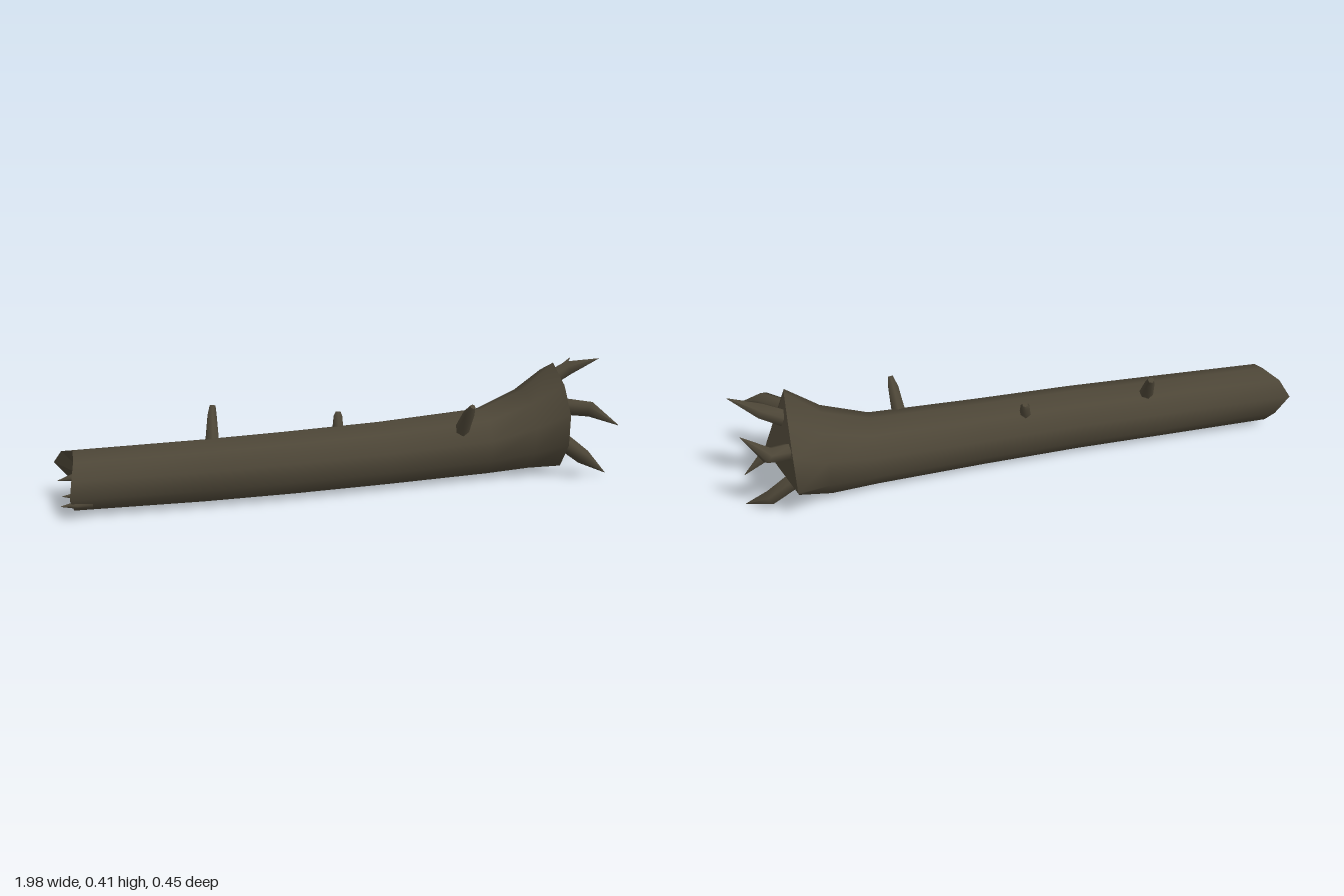
import * as THREE from 'three';

const V = (x, y, z) => new THREE.Vector3(x, y, z);

// Smooth skin over a list of rings (each an array of Vector3, turning from +y to +z)
function loft(rings) {
  const n = rings[0].length, index = [];
  for (let r = 0; r < rings.length - 1; r++) {
    for (let k = 0; k < n; k++) {
      const a = r * n + k, b = r * n + (k + 1) % n;
      index.push(a, b, a + n, b, b + n, a + n);
    }
  }
  const g = new THREE.BufferGeometry().setFromPoints(rings.flat());
  g.setIndex(index);
  g.computeVertexNormals();
  return g;
}

// Faceted fan from a ring to a centre point
function fan(ring, centre, flip) {
  const pts = [];
  ring.forEach((p, k) => {
    const q = ring[(k + 1) % ring.length];
    pts.push(...(flip ? [q, p, centre] : [p, q, centre]));
  });
  const g = new THREE.BufferGeometry().setFromPoints(pts);
  g.computeVertexNormals();
  return g;
}

// Tapered bent limb through a few points
function limb(path, radii, sides = 6) {
  const rings = path.map((p, i) => {
    const t = path[Math.min(i + 1, path.length - 1)].clone().sub(path[Math.max(i - 1, 0)]).normalize();
    const q = new THREE.Quaternion().setFromUnitVectors(V(1, 0, 0), t);
    return Array.from({ length: sides }, (_, k) => {
      const a = (k / sides) * Math.PI * 2;
      return V(0, Math.cos(a) * radii[i], Math.sin(a) * radii[i]).applyQuaternion(q).add(p);
    });
  });
  return { skin: loft(rings), end: fan(rings[rings.length - 1], path[path.length - 1], false) };
}

export function createModel() {
  const group = new THREE.Group();
  const bark = new THREE.MeshStandardMaterial({ color: 0x4d4637 });
  bark.name = 'bark';
  const add = (name, geometry, parent = group) => {
    const m = new THREE.Mesh(geometry, bark);
    m.name = name;
    parent.add(m);
  };
  const addLimb = (name, path, radii) => {
    const part = new THREE.Group();
    part.name = name;
    const { skin, end } = limb(path.map(p => V(...p)), radii);
    add(name + 'Skin', skin, part);
    add(name + 'End', end, part);
    group.add(part);
  };

  // Trunk: x, bottom, top, back, front
  const rings = [
    [-0.93, 0.035, 0.245, -0.085, 0.12],
    [-0.5, 0.03, 0.25, -0.08, 0.135],
    [-0.2, 0.03, 0.256, -0.08, 0.14],
    [0.15, 0.03, 0.263, -0.09, 0.135],
    [0.53, 0.03, 0.28, -0.11, 0.125],
    [0.69, 0.034, 0.34, -0.145, 0.14],
  ].map(([x, y0, y1, z0, z1]) => Array.from({ length: 10 }, (_, k) => {
    const a = (k / 10) * Math.PI * 2;
    return V(x, (y0 + y1) / 2 + Math.cos(a) * (y1 - y0) / 2,
      (z0 + z1) / 2 + Math.sin(a) * (z1 - z0) / 1.9);
  }));
  // Flared root end
  rings.push([
    [0.435, 0], [0.38, 0.108], [0.29, 0.175], [0.175, 0.18], [0.075, 0.12],
    [0.045, 0.01], [0.085, -0.1], [0.17, -0.2], [0.29, -0.175], [0.38, -0.105],
  ].map(([y, z]) => V(0.8, y, z)));
  // Broken, uneven rim at the thin end
  [-0.93, -0.93, -0.94, -0.95, -0.94, -0.93, -0.935, -0.95, -1, -0.97]
    .forEach((x, k) => { rings[0][k].x = x; });
  add('trunk', loft(rings));
  add('rootCap', fan(rings[rings.length - 1], V(0.89, 0.225, 0), false));
  add('brokenEnd', fan(rings[0], V(-0.88, 0.14, 0.02), true));

  // Bent roots
  [
    [[0.79, 0.35, -0.04], [0.88, 0.4, -0.035], [0.98, 0.44, 0.003]],
    [[0.79, 0.285, -0.12], [0.875, 0.315, -0.165], [0.95, 0.4, -0.168]],
    [[0.79, 0.3, 0.1], [0.875, 0.305, 0.175], [0.95, 0.263, 0.246]],
    [[0.79, 0.18, 0.1], [0.88, 0.11, 0.14], [0.98, 0.034, 0.125]],
    [[0.79, 0.14, -0.07], [0.89, 0.08, -0.08], [0.98, 0.028, -0.03]],
  ].forEach((path, i) => addLimb('root' + (i + 1), path, [0.032, 0.028, 0.001]));

  // Snapped branch stubs
  addLimb('tallStub', [[-0.46, 0.22, -0.01], [-0.45, 0.31, -0.065], [-0.445, 0.335, -0.085]], [0.027, 0.017, 0.011]);
  addLimb('shortStub', [[-0.005, 0.23, -0.03], [0, 0.275, -0.05], [0.002, 0.288, -0.056]], [0.022, 0.017, 0.01]);
  addLimb('frontStub', [[0.422, 0.22, 0.08], [0.43, 0.31, 0.135], [0.435, 0.342, 0.157]], [0.028, 0.02, 0.01]);

  // Splinters in the broken end
  [
    [[-0.88, 0.1, 0.06], [-0.93, 0.102, 0.065], [-0.975, 0.105, 0.07]],
    [[-0.88, 0.08, 0.09], [-0.93, 0.082, 0.098], [-0.98, 0.085, 0.108]],
    [[-0.88, 0.18, 0.08], [-0.93, 0.175, 0.078], [-0.985, 0.165, 0.075]],
  ].forEach((path, i) => addLimb('splinter' + (i + 1), path, [0.018, 0.013, 0.001]));

  return group;
}
